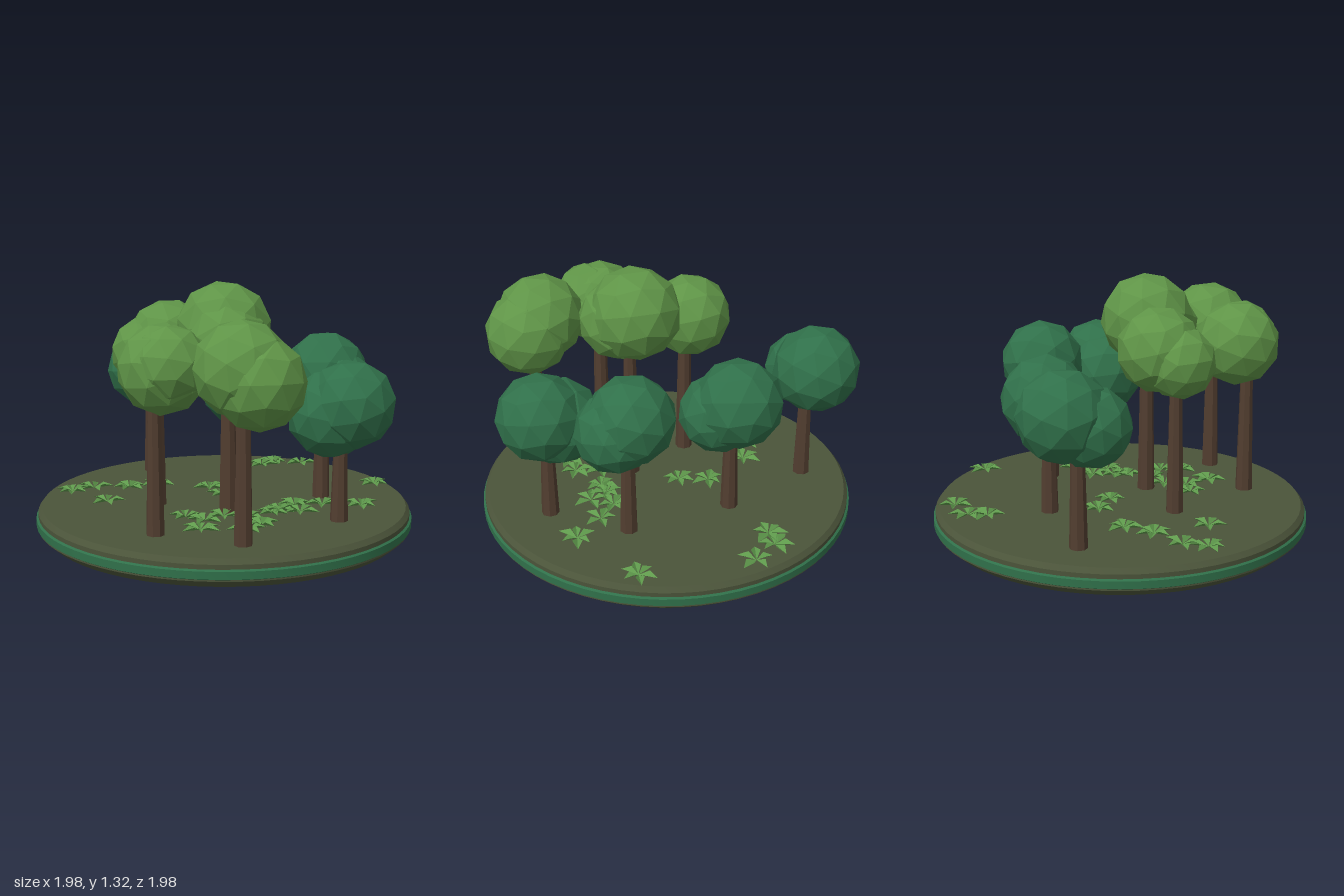
import * as THREE from 'three';
import { mergeGeometries, toCreasedNormals } from 'three/addons/utils/BufferGeometryUtils.js';

function material(name, color, side = THREE.FrontSide) {
  const m = new THREE.MeshStandardMaterial({ color, side });
  m.name = name;
  return m;
}

function seeded(seed) {
  return () => (seed = (seed * 16807) % 2147483647) / 2147483647;
}

function flat(geometry) {
  const g = geometry.index ? geometry.toNonIndexed() : geometry;
  g.computeVertexNormals();
  return g;
}

const GROUND = 0.145;

// Trees: trunk position and leaf balls [x, y, z, radius]
const DARK_TREES = [
  { x: -0.74, z: -0.055, balls: [[-0.77, 0.805, -0.115, 0.23], [-0.73, 0.75, 0.01, 0.2]] },
  { x: -0.28, z: -0.315, balls: [[-0.315, 0.755, -0.32, 0.23], [-0.22, 0.685, -0.275, 0.205]] },
  { x: 0.27, z: -0.45, balls: [[0.255, 0.81, -0.485, 0.225], [0.335, 0.75, -0.49, 0.205]] },
  { x: 0.65, z: -0.225, balls: [[0.59, 0.685, -0.215, 0.225], [0.68, 0.74, -0.265, 0.225]] },
];
const LIGHT_TREES = [
  { x: -0.155, z: 0.32, balls: [[-0.165, 1.0, 0.235, 0.22], [-0.205, 0.95, 0.345, 0.185]] },
  { x: 0.175, z: 0.11, balls: [[0.145, 1.09, 0.115, 0.245], [0.22, 1.04, 0.16, 0.215]] },
  { x: 0.27, z: 0.635, balls: [[0.27, 0.955, 0.58, 0.225], [0.325, 0.98, 0.585, 0.195]] },
  { x: 0.655, z: 0.4, balls: [[0.615, 0.98, 0.38, 0.235], [0.685, 0.92, 0.335, 0.23]] },
];

// Ground plants [x, z]
const PLANTS = [
  [-0.45, 0.11], [-0.5, 0.27], [-0.61, 0.43], [-0.62, 0.56], [-0.34, 0.52],
  [-0.43, -0.71], [-0.31, -0.82], [-0.42, -0.61], [0.28, -0.84], [-0.22, -0.07],
  [-0.06, -0.04], [0.32, -0.22], [0.34, -0.1], [0.43, -0.16], [0.54, -0.49],
  [0.48, 0.14], [0.14, 0.36], [0.25, 0.32], [0.4, -0.34], [0.36, 0.43],
  [0.34, 0.12], [0.36, -0.03], [0.25, 0.2], [0.5, 0.25],
];

// One pointed leaf, raised at its widest part
function leafGeometry(length) {
  const w = length * 0.24;
  const g = new THREE.BufferGeometry();
  g.setAttribute('position', new THREE.Float32BufferAttribute([
    0, 0, 0, length * 0.5, 0.024, w, length, 0.008, 0,
    0, 0, 0, length, 0.008, 0, length * 0.5, 0.024, -w,
  ], 3));
  g.computeVertexNormals();
  return g;
}

function createPlant(x, z, mat, rand) {
  const leaves = [];
  const count = 5 + Math.floor(rand() * 2);
  const turn = rand() * 6.28;
  for (let i = 0; i < count; i++) {
    const leaf = leafGeometry(0.075 + rand() * 0.035);
    leaf.rotateY(turn + (i / count) * Math.PI * 2 + (rand() - 0.5) * 0.3);
    leaves.push(leaf);
  }
  const plant = new THREE.Mesh(mergeGeometries(leaves), mat);
  plant.name = 'groundPlant';
  plant.position.set(x, GROUND + 0.006, z);
  return plant;
}

function createTree({ x, z, balls }, leafMat, barkMat, rand) {
  const tree = new THREE.Group();
  tree.name = 'tree';
  // Tapered trunk ending inside the crown
  const height = balls[0][1] - GROUND;
  const trunk = new THREE.Mesh(flat(new THREE.CylinderGeometry(0.03, 0.046, height, 8)), barkMat);
  trunk.name = 'trunk';
  trunk.position.set(x, GROUND + height / 2, z);
  trunk.rotation.y = rand() * 3;
  tree.add(trunk);
  // Faceted crown
  for (const [bx, by, bz, r] of balls) {
    const ball = new THREE.Mesh(flat(new THREE.IcosahedronGeometry(r, 1)), leafMat);
    ball.name = 'crown';
    ball.position.set(bx, by, bz);
    ball.rotation.set(rand() * 6, rand() * 6, rand() * 6);
    tree.add(ball);
  }
  return tree;
}

// Turned ring of the base from [radius, height] points
function createRing(name, points, mat) {
  const profile = points.map(([r, y]) => new THREE.Vector2(r, y));
  const ring = new THREE.Mesh(toCreasedNormals(new THREE.LatheGeometry(profile, 64), 0.3), mat);
  ring.name = name;
  return ring;
}

export function createModel() {
  const model = new THREE.Group();
  model.name = 'forestIsland';
  const rand = seeded(4271);

  const soil = material('soil', 0x4b543a);
  const darkLeaf = material('darkGreen', 0x30704a);
  const lightLeaf = material('lightGreen', 0x5f9447);
  const bark = material('bark', 0x523e30);
  const plantLeaf = material('plantGreen', 0x5f9a4c, THREE.DoubleSide);

  // Round base with a green rim
  model.add(
    createRing('baseBottom', [[0, 0], [0.94, 0], [0.985, 0.04], [0.985, 0.05]], soil),
    createRing('baseRim', [[0.98, 0.045], [0.991, 0.052], [0.991, 0.09], [0.975, 0.1]], darkLeaf),
    createRing('baseTop', [[0.98, 0.095], [0.98, 0.12], [0.96, GROUND], [0, GROUND]], soil),
  );

  for (const t of DARK_TREES) model.add(createTree(t, darkLeaf, bark, rand));
  for (const t of LIGHT_TREES) model.add(createTree(t, lightLeaf, bark, rand));
  for (const [x, z] of PLANTS) model.add(createPlant(x, z, plantLeaf, rand));

  return model;
}
